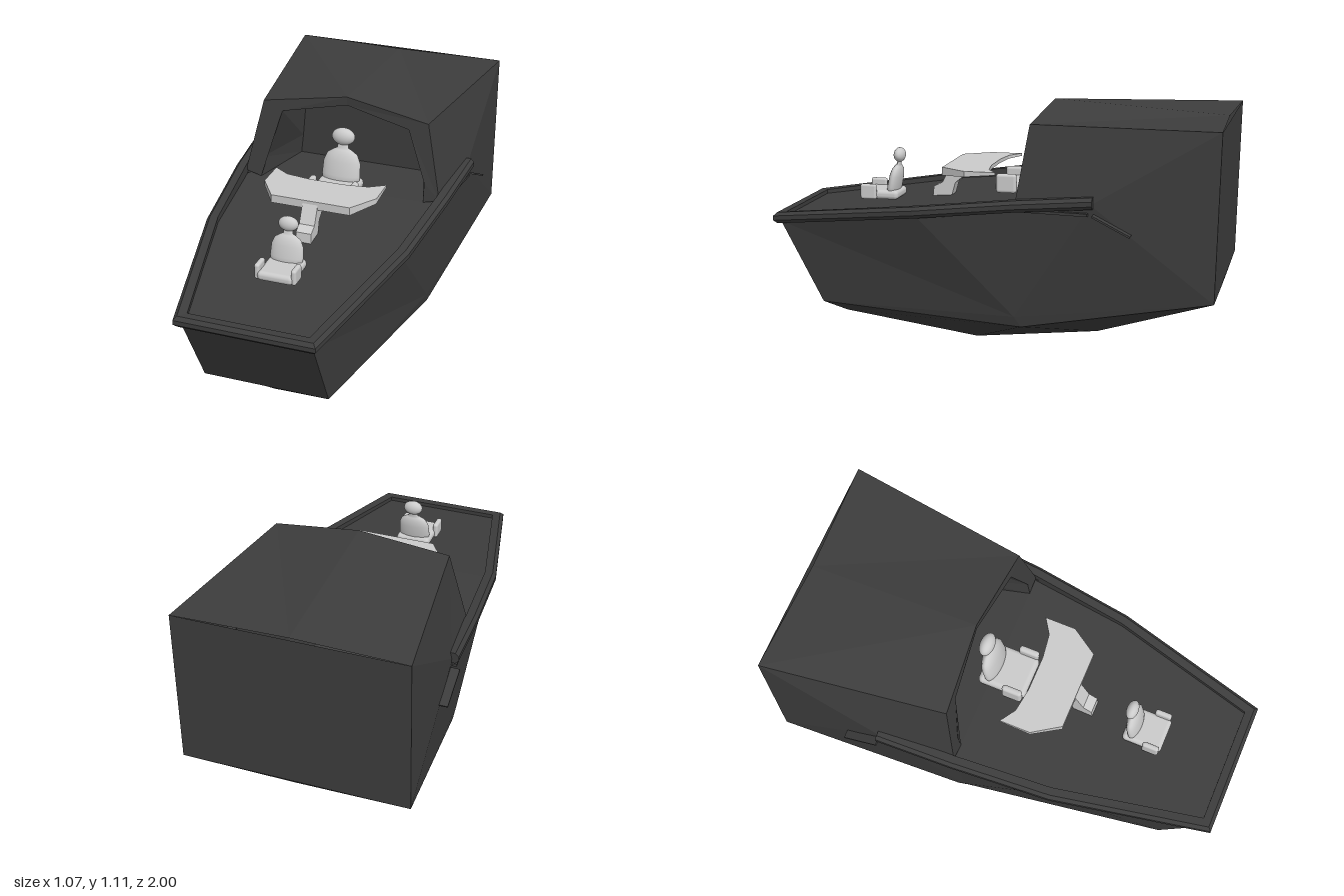
import * as THREE from 'three';
import { RoundedBoxGeometry } from 'three/addons/geometries/RoundedBoxGeometry.js';

const dark = new THREE.MeshStandardMaterial({ color: 0x3d3d3d, flatShading: true, side: THREE.DoubleSide });
const grey = new THREE.MeshStandardMaterial({ color: 0xcccccc, side: THREE.DoubleSide });
const flatGrey = new THREE.MeshStandardMaterial({ color: 0xcccccc, flatShading: true, side: THREE.DoubleSide });

const flip = ([x, y, z]) => [-x, y, z];

// Flat polygons, each a fan of triangles
function panels(name, polygons, material = dark) {
  const out = [];
  for (const p of polygons)
    for (let i = 1; i < p.length - 1; i++) out.push(...p[0], ...p[i], ...p[i + 1]);
  const g = new THREE.BufferGeometry();
  g.setAttribute('position', new THREE.Float32BufferAttribute(out, 3));
  g.computeVertexNormals();
  return part(name, g, material);
}

function part(name, geometry, material, x = 0, y = 0, z = 0) {
  const m = new THREE.Mesh(geometry, material);
  m.name = name;
  m.position.set(x, y, z);
  return m;
}

const mirrored = (polys) => [...polys, ...polys.map((p) => p.map(flip).reverse())];

// Sheer line, shared by hull, deck and cabin
const bow = [0.285, 0.56, 0.97], mid = [0.435, 0.645, 0.3];
const archFoot = [0.465, 0.71, -0.14], hip = [0.5, 0.74, -0.47];
const sternTop = [0.5, 1.06, -1], sternLow = [0.5, 0.35, -0.985];

function makeHull() {
  const keel = [[0, 0.13, 0.69], [0, 0, 0.14], [0, 0.06, -0.42], [0, 0.345, -0.985]];
  const low0 = [0.22, 0.15, 0.69], low1 = [0.42, 0.18, -0.16];
  const high0 = [0.28, 0.2, 0.78], high1 = [0.425, 0.225, -0.13];
  const half = mirrored([
    [bow, high0, high1, mid], [mid, high1, archFoot], [archFoot, high1, hip],
    [hip, high1, sternLow], [hip, sternLow, sternTop],
    [high0, low0, low1, high1], [high1, low1, sternLow],
    [low0, keel[0], keel[1]], [low0, keel[1], low1],
    [low1, keel[1], keel[2]], [low1, keel[2], sternLow], [sternLow, keel[2], keel[3]],
  ]);
  return panels('hull', [
    ...half,
    [bow, flip(bow), flip(high0), high0],
    [high0, flip(high0), flip(low0), keel[0], low0],
    [sternTop, sternLow, flip(sternLow), flip(sternTop)],
  ]);
}

function makeCabin() {
  const shoulder = [0.39, 1.05, -0.19], peak = [0, 1.11, -0.22], roofBack = [0, 1.06, -0.985];
  // Opening and the recess behind it
  const rim = [[0.39, 0.69, -0.14], [0.39, 0.78, -0.15], [0.3, 1.01, -0.19], [0, 1.07, -0.22]];
  const back = [[0.31, 0.69, -0.45], [0.3, 0.78, -0.45], [0.28, 1.01, -0.45], [0, 1.0, -0.45]];
  const shell = panels('cabinShell', mirrored([
    [archFoot, hip, shoulder], [hip, sternTop, shoulder],
    [shoulder, sternTop, roofBack, peak],
    [archFoot, shoulder, rim[2], rim[1], rim[0]], [shoulder, peak, rim[3], rim[2]],
  ]));
  const lining = [[back[0], back[1], back[2], back[3], [0, 0.69, -0.45]]];
  for (let i = 0; i < 3; i++) lining.push([rim[i], rim[i + 1], back[i + 1], back[i]]);
  const g = new THREE.Group();
  g.name = 'cabin';
  g.add(shell, panels('cabinLining', mirrored(lining)));
  return g;
}

// Sloping deck that levels off inside the cabin
function makeDeck() {
  const edge = [[0.29, 0.58, 0.965], [0.435, 0.66, 0.3], [0.465, 0.69, -0.14], [0.31, 0.69, -0.45]];
  const strips = [];
  for (let i = 0; i < 3; i++)
    strips.push([edge[i], flip(edge[i]), flip(edge[i + 1]), edge[i + 1]]);
  return panels('deck', strips);
}

// Chamfered rail swept from one quarter around the bow to the other
function makeRail() {
  const section = [[-0.025, 0.025], [0.01, 0.025], [0.025, 0.01], [0.025, -0.01], [0.01, -0.025], [-0.025, -0.025]];
  // Path point, then outward direction in x and z
  const side = [
    [[0.505, 0.75, -0.48], 1, 0], [[0.485, 0.718, -0.14], 1, 0.1],
    [[0.44, 0.662, 0.3], 1, 0.15], [[0.285, 0.575, 0.975], 0.85, 1],
  ];
  const path = [...side, ...side.slice().reverse().map(([p, x, z]) => [flip(p), -x, z])];
  const rings = path.map(([p, ox, oz]) =>
    section.map(([o, u]) => [p[0] + ox * o, p[1] + u, p[2] + oz * o]));
  const faces = [rings[0], rings[rings.length - 1]];
  for (let i = 0; i < rings.length - 1; i++)
    for (let j = 0; j < 6; j++) {
      const k = (j + 1) % 6;
      faces.push([rings[i][j], rings[i][k], rings[i + 1][k], rings[i + 1][j]]);
    }
  return panels('rail', faces);
}

// Slanted fin and slim bar below the end of the rail
function makeSideFittings(s) {
  const g = new THREE.Group();
  g.name = s > 0 ? 'leftFittings' : 'rightFittings';
  const fin = part('fin', new THREE.BoxGeometry(0.08, 0.008, 0.178), dark, s * 0.497, 0.66, -0.56);
  fin.rotation.x = -Math.atan2(0.08, 0.16);
  const bar = part('bar', new THREE.BoxGeometry(0.025, 0.012, 0.34), dark, s * 0.487, 0.7, -0.29);
  bar.rotation.y = s * -0.1;
  g.add(fin, bar);
  return g;
}

function makeSeat(name, y, z, scale) {
  const g = new THREE.Group();
  g.name = name;
  g.add(part('cushion', new RoundedBoxGeometry(0.16, 0.042, 0.18, 3, 0.018), grey, 0, 0.021, 0.08));
  for (const s of [-1, 1])
    g.add(part('armrest', new RoundedBoxGeometry(0.024, 0.07, 0.075, 3, 0.011), grey, s * 0.081, 0.036, 0.125));
  // Rounded back narrowing to a neck
  const profile = [[0.001, 0], [0.066, 0.002], [0.074, 0.05], [0.071, 0.1], [0.058, 0.13], [0.035, 0.145], [0.022, 0.152], [0.02, 0.18]];
  const backGeo = new THREE.LatheGeometry(profile.map(([a, b]) => new THREE.Vector2(a, b)), 24);
  backGeo.scale(1, 1, 0.38);
  const back = part('backrest', backGeo, grey, 0, 0.005, 0.035);
  back.rotation.x = -0.2;
  const head = part('headrest', new THREE.SphereGeometry(1, 24, 16), grey, 0, 0.197, 0);
  head.scale.set(0.044, 0.033, 0.026);
  g.add(back, head);
  g.position.set(0, y, z);
  g.scale.setScalar(scale);
  return g;
}

function makeConsole() {
  const g = new THREE.Group();
  g.name = 'console';
  // Winged top, deeper underneath towards the front
  const outline = [[-0.26, -0.01], [-0.26, 0.13], [-0.18, 0.25], [0.18, 0.25], [0.26, 0.13], [0.26, -0.01], [0.19, 0.035], [0.08, 0.05], [-0.08, 0.05], [-0.19, 0.035]];
  const topGeo = new THREE.ExtrudeGeometry(
    new THREE.Shape(outline.map(([x, z]) => new THREE.Vector2(x, z))), { depth: 0.02, bevelEnabled: false });
  topGeo.rotateX(Math.PI / 2);
  const p = topGeo.attributes.position;
  for (let i = 0; i < p.count; i++)
    if (p.getY(i) < -0.01) p.setY(i, -0.012 - 0.1 * Math.max(0, p.getZ(i)));
  topGeo.computeVertexNormals();
  g.add(part('consoleTop', topGeo, flatGrey, 0, 0.815, 0));
  // Leg reaching forward to its foot
  const legProfile = [[0.25, 0.8], [0.08, 0.8], [0.18, 0.76], [0.23, 0.72], [0.25, 0.65], [0.335, 0.65], [0.33, 0.7], [0.29, 0.72]];
  const legGeo = new THREE.ExtrudeGeometry(
    new THREE.Shape(legProfile.map(([z, y]) => new THREE.Vector2(z, y))), { depth: 0.07, bevelEnabled: false });
  legGeo.rotateY(-Math.PI / 2);
  g.add(part('consoleLeg', legGeo, flatGrey, 0.035));
  return g;
}

export function createModel() {
  const model = new THREE.Group();
  model.name = 'boat';
  model.add(makeHull(), makeCabin(), makeDeck(), makeRail(), makeSideFittings(1), makeSideFittings(-1));
  model.add(makeSeat('frontSeat', 0.635, 0.5, 1), makeSeat('rearSeat', 0.695, -0.175, 1.23), makeConsole());
  return model;
}
